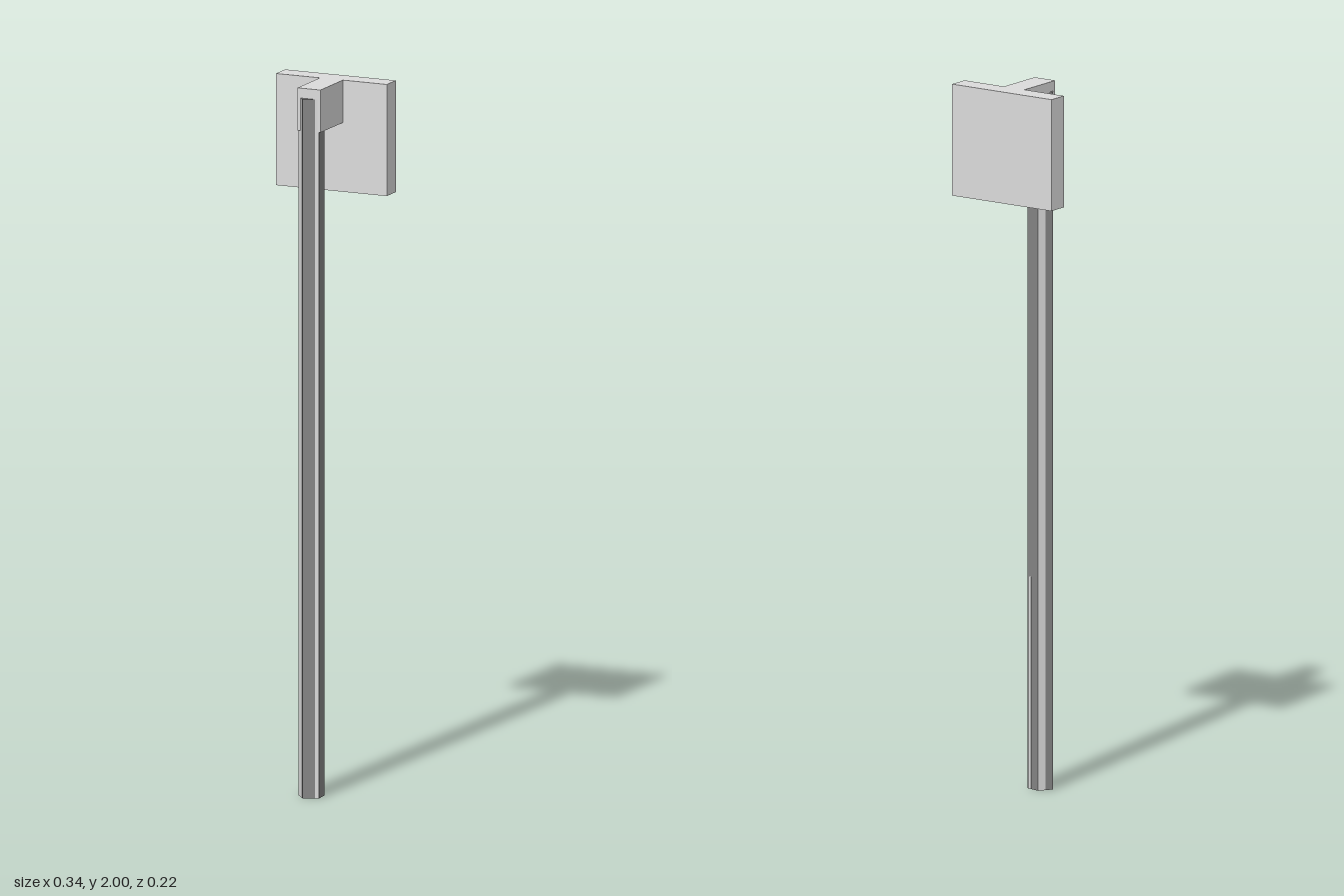
import * as THREE from 'three';

const panelGrey = new THREE.MeshStandardMaterial({ name: 'panelGrey', color: 0xdbdbdb });
panelGrey.side = THREE.DoubleSide;
const poleGrey = new THREE.MeshStandardMaterial({ name: 'poleGrey', color: 0x848484 });
poleGrey.flatShading = true;

// Axis-aligned block given by its minimum and maximum corners
function block(name, min, max) {
  const size = max.map((v, i) => v - min[i]);
  const mesh = new THREE.Mesh(new THREE.BoxGeometry(...size), panelGrey);
  mesh.position.set(...max.map((v, i) => (v + min[i]) / 2));
  mesh.name = name;
  return mesh;
}

// Five-sided post with light strips along some of its faces
function createPost() {
  const post = new THREE.Group();
  post.name = 'post';
  post.position.set(-0.003, 0, 0.071);
  const radius = 0.038, height = 1.972;

  const pole = new THREE.Mesh(new THREE.CylinderGeometry(radius, radius, height, 5), poleGrey);
  pole.name = 'pole';
  pole.rotation.y = THREE.MathUtils.degToRad(-86);
  pole.position.y = height / 2;
  post.add(pole);

  // Face direction (degrees from +x towards +z), start and end across the face, top
  const apothem = radius * Math.cos(Math.PI / 5);
  const strips = [
    [140, -0.009, 0.022, height],
    [68, -0.022, -0.012, height],
    [212, 0, 0.022, height],
    [284, 0.006, 0.014, 0.6],
  ];
  for (const [degrees, from, to, top] of strips) {
    const angle = THREE.MathUtils.degToRad(degrees);
    const mid = (from + to) / 2;
    const strip = new THREE.Mesh(new THREE.BoxGeometry(0.001, top, to - from), panelGrey);
    strip.name = 'lightStrip';
    strip.rotation.y = -angle;
    strip.position.set(
      apothem * Math.cos(angle) - mid * Math.sin(angle),
      top / 2,
      apothem * Math.sin(angle) + mid * Math.cos(angle));
    post.add(strip);
  }
  return post;
}

export function createModel() {
  const group = new THREE.Group();
  group.name = 'postWithPanel';
  group.add(createPost());

  // Short arm running back from the top of the post into the panel
  group.add(block('arm', [-0.035, 1.88, -0.074], [0.035, 2, 0.093]));

  // Upright panel behind the post, a hollow shell open at the bottom
  const panel = block('panel', [-0.169, 1.685, -0.111], [0.169, 2, -0.052]);
  const index = Array.from(panel.geometry.index.array);
  index.splice(18, 6);
  panel.geometry.setIndex(index);
  panel.geometry.clearGroups();
  group.add(panel);

  return group;
}
